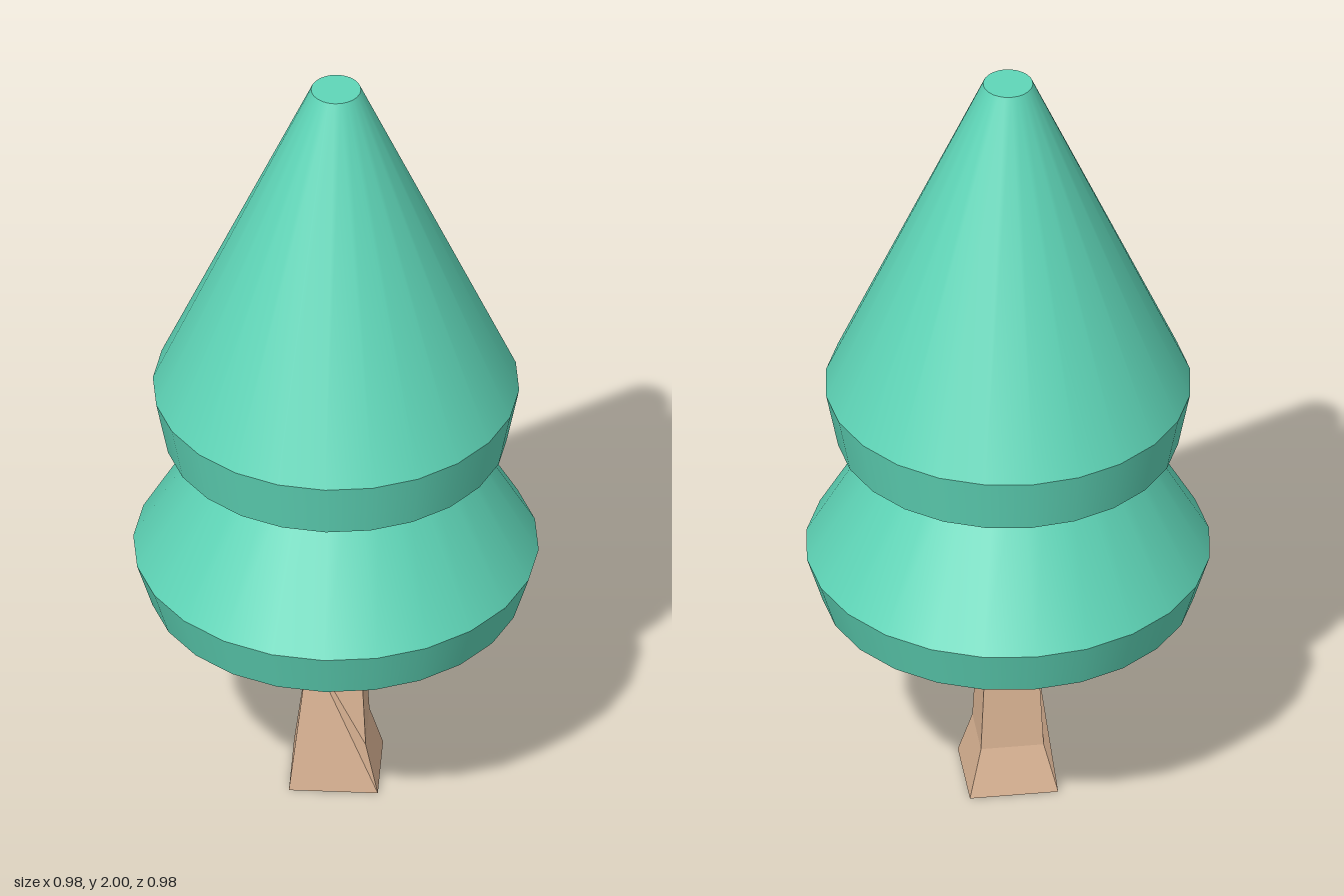
import * as THREE from 'three';

const leafMat = new THREE.MeshStandardMaterial({ color: 0x5fd6b8 });
const barkMat = new THREE.MeshStandardMaterial({ color: 0xdcb595, flatShading: true });

// One foliage tier: an undercut skirt below a tapering cone, capped at both ends
function tier(name, rings) {
  const group = new THREE.Group();
  group.name = name;
  for (let i = 0; i < rings.length - 1; i++) {
    const [r0, y0] = rings[i], [r1, y1] = rings[i + 1];
    const band = new THREE.Mesh(new THREE.CylinderGeometry(r1, r0, y1 - y0, 24, 1, true), leafMat);
    band.position.y = (y0 + y1) / 2;
    band.name = i === 0 ? 'skirt' : 'cone';
    group.add(band);
  }
  const ends = [[rings[0], 1, 'underside'], [rings[rings.length - 1], -1, 'tip']];
  for (const [[r, y], turn, label] of ends) {
    const cap = new THREE.Mesh(new THREE.CircleGeometry(r, 24), leafMat);
    cap.rotation.x = turn * Math.PI / 2;
    cap.position.y = y;
    cap.name = label;
    group.add(cap);
  }
  return group;
}

// Square trunk with a flared foot; the front corner at -x flares from higher up
function trunk() {
  const corners = [[-1, 1], [1, 1], [1, -1], [-1, -1]];
  const levels = [[0.107, 0], [0.076, 0.12], [0.054, 0.58]];
  const points = [];
  levels.forEach(([half, y], level) => corners.forEach(([sx, sz], c) => {
    const raised = level === 1 && c === 0;
    const h = raised ? 0.062 : half;
    points.push(sx * h, raised ? 0.39 : y, sz * h);
  }));
  const index = [0, 3, 2, 0, 2, 1, 8, 9, 10, 8, 10, 11];
  for (let level = 0; level < 2; level++) {
    for (let c = 0; c < 4; c++) {
      const n = (c + 1) % 4;
      const a = level * 4 + c, b = level * 4 + n, d = a + 4, e = b + 4;
      // Diagonals meet at the raised corner
      const meetsLeft = level === 0 ? c === 0 : c === 3;
      if (meetsLeft) index.push(a, b, d, b, e, d);
      else index.push(a, b, e, a, e, d);
    }
  }
  const geo = new THREE.BufferGeometry();
  geo.setAttribute('position', new THREE.Float32BufferAttribute(points, 3));
  geo.setIndex(index);
  const flat = geo.toNonIndexed();
  flat.computeVertexNormals();
  const mesh = new THREE.Mesh(flat, barkMat);
  mesh.name = 'trunk';
  return mesh;
}

export function createModel() {
  const tree = new THREE.Group();
  tree.name = 'tree';
  tree.add(
    trunk(),
    tier('lowerFoliage', [[0.45, 0.54], [0.488, 0.66], [0.24, 1.1]]),
    tier('upperFoliage', [[0.412, 0.985], [0.441, 1.13], [0.06, 2]]),
  );
  return tree;
}
